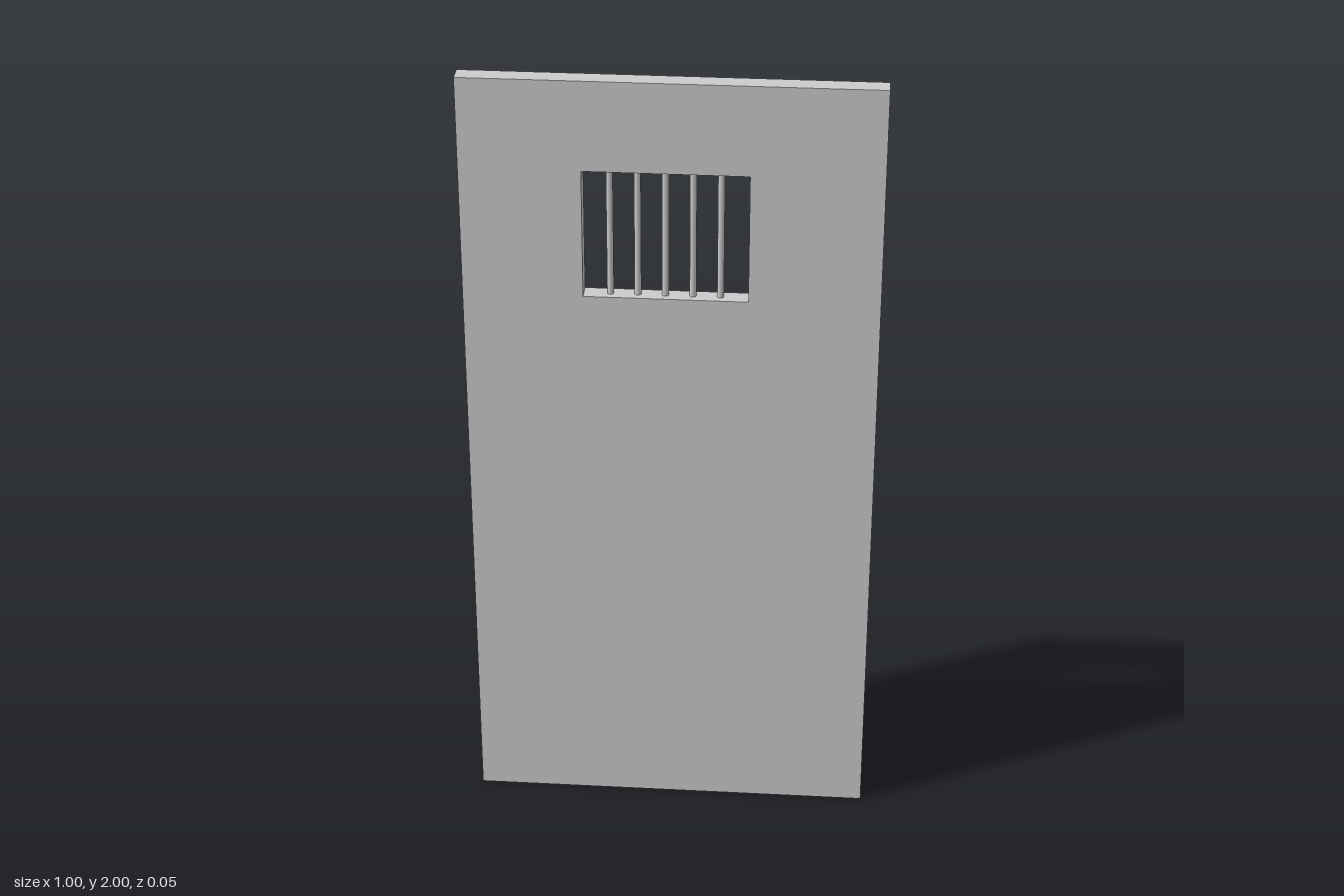
import * as THREE from 'three';

const DEPTH = 0.048;
const WINDOW = { x0: -0.21, x1: 0.185, y0: 1.45, y1: 1.775 };
const BAR_COUNT = 5;
const BAR_RADIUS = 0.008;

function rectangle(target, x0, y0, x1, y1) {
  target.moveTo(x0, y0);
  target.lineTo(x1, y0);
  target.lineTo(x1, y1);
  target.lineTo(x0, y1);
  target.closePath();
  return target;
}

export function createModel() {
  const group = new THREE.Group();
  group.name = 'cellDoor';
  const material = new THREE.MeshStandardMaterial({ color: 0xcccccc });

  // Door slab with a rectangular window opening
  const { x0, x1, y0, y1 } = WINDOW;
  const outline = rectangle(new THREE.Shape(), -0.5, 0, 0.5, 2);
  outline.holes.push(rectangle(new THREE.Path(), x0, y0, x1, y1));
  const slab = new THREE.ExtrudeGeometry(outline, { depth: DEPTH, bevelEnabled: false });
  slab.translate(0, 0, -DEPTH / 2);
  const panel = new THREE.Mesh(slab, material);
  panel.name = 'doorPanel';
  group.add(panel);

  // Evenly spaced upright bars across the window
  const bars = new THREE.Group();
  bars.name = 'windowBars';
  const barGeometry = new THREE.CylinderGeometry(BAR_RADIUS, BAR_RADIUS, y1 - y0, 12, 1, true);
  const spacing = (x1 - x0) / (BAR_COUNT + 1);
  for (let i = 1; i <= BAR_COUNT; i++) {
    const bar = new THREE.Mesh(barGeometry, material);
    bar.name = `bar${i}`;
    bar.position.set(x0 + i * spacing - 0.002, (y0 + y1) / 2, 0);
    bars.add(bar);
  }
  group.add(bars);

  return group;
}
